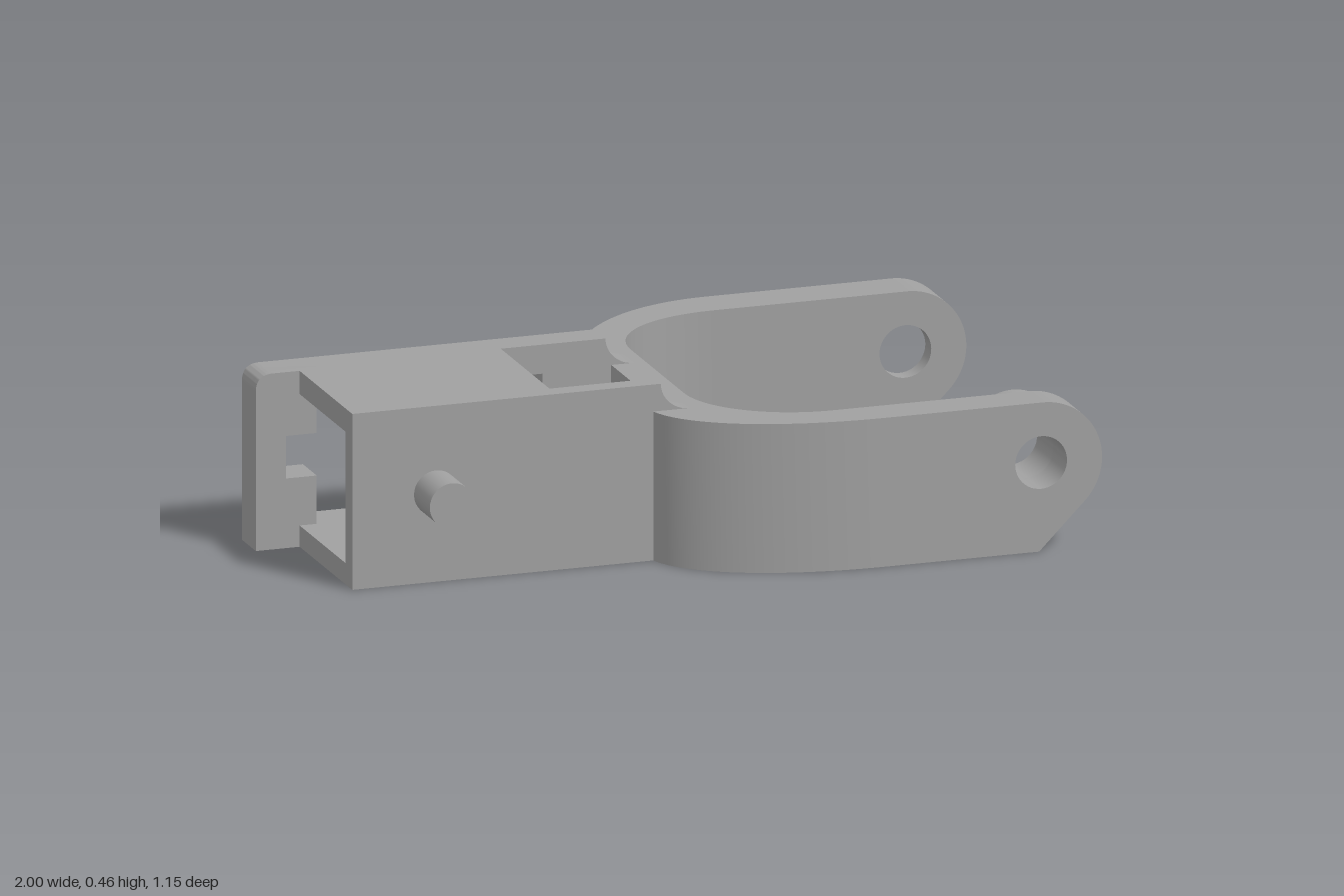
import * as THREE from 'three';
import { toCreasedNormals } from 'three/addons/utils/BufferGeometryUtils.js';

const PIVOT = [0.845, 0.23];
const TOP = 0.455;      // height of the housing
const FORK = 0.385;     // height of the fork

export function createModel() {
  const model = new THREE.Group();
  const grey = new THREE.MeshStandardMaterial({ color: 0xa0a0a0 });
  grey.name = 'bracket grey';

  const add = (name, geometry) => {
    const mesh = new THREE.Mesh(toCreasedNormals(geometry, 0.5), grey);
    mesh.name = name;
    model.add(mesh);
  };
  const extrude = (shape, depth) =>
    new THREE.ExtrudeGeometry(shape, { depth, bevelEnabled: false, curveSegments: 24 });
  // Side profile (x, y) extruded between two z positions
  const slab = (name, shape, z0, z1) => add(name, extrude(shape, z1 - z0).translate(0, 0, z0));
  const box = (name, x0, x1, y0, y1, z0, z1) =>
    add(name, new THREE.BoxGeometry(x1 - x0, y1 - y0, z1 - z0)
      .translate((x0 + x1) / 2, (y0 + y1) / 2, (z0 + z1) / 2));
  const polygon = (points, Type = THREE.Shape) =>
    new Type(points.map(([x, y]) => new THREE.Vector2(x, y)));
  const circle = (x, y, r, Type = THREE.Path) => {
    const c = new Type();
    c.absarc(x, y, r, 0, Math.PI * 2, false);
    return c;
  };

  // Housing side wall with a concave fillet running down to the fork
  const wallShape = (x0, corner) => {
    const s = new THREE.Shape();
    s.moveTo(x0, 0);
    s.lineTo(-0.06, 0);
    s.lineTo(-0.06, FORK);
    s.lineTo(0, FORK);
    s.absellipse(0, TOP, 0.075, TOP - FORK, -Math.PI / 2, -Math.PI, true);
    s.lineTo(x0 + corner, TOP);
    if (corner) s.quadraticCurveTo(x0, TOP, x0, TOP - corner);
    s.closePath();
    return s;
  };

  // Back plate with window, cable notch and screw holes
  const back = wallShape(-1, 0.045);
  back.holes.push(
    polygon([[-0.24, 0.055], [-0.24, 0.38], [-0.84, 0.38], [-0.84, 0.29], [-0.92, 0.29],
      [-0.92, 0.18], [-0.84, 0.18], [-0.84, 0.055]], THREE.Path),
    circle(-0.18, 0.31, 0.028), circle(-0.18, 0.155, 0.028));
  slab('backPlate', back, -0.175, -0.09);

  // Thicker flange at the free end of the back plate
  const flange = new THREE.Shape();
  flange.moveTo(-1, 0);
  for (const [x, y] of [[-0.84, 0], [-0.84, 0.18], [-0.92, 0.18], [-0.92, 0.29],
    [-0.84, 0.29], [-0.84, TOP], [-0.955, TOP]]) flange.lineTo(x, y);
  flange.quadraticCurveTo(-1, TOP, -1, TOP - 0.045);
  flange.closePath();
  slab('endFlange', flange, -0.09, -0.07);

  // Remaining housing walls; the end and part of the top stay open
  slab('frontWall', wallShape(-0.885, 0), 0.28, 0.33);
  box('housingFloor', -0.885, -0.06, 0, 0.055, -0.09, 0.28);
  box('housingTop', -0.885, -0.35, 0.395, TOP, -0.09, 0.28);

  // Peg on the front wall
  add('peg', new THREE.CylinderGeometry(0.058, 0.058, 0.13, 32)
    .rotateX(Math.PI / 2).translate(-0.665, 0.23, 0.385));

  // Curved yoke, drawn in plan as (x, z)
  const yoke = new THREE.Shape();
  yoke.moveTo(0.03, -0.2);
  yoke.lineTo(0.03, 0.2);
  yoke.bezierCurveTo(0.03, 0.35, 0.17, 0.465, 0.33, 0.465);
  yoke.lineTo(0.43, 0.465);
  yoke.lineTo(0.43, 0.57);
  yoke.bezierCurveTo(0.15, 0.57, -0.06, 0.47, -0.095, 0.33);
  yoke.lineTo(-0.06, 0.33);
  yoke.lineTo(-0.06, -0.175);
  yoke.lineTo(-0.085, -0.175);
  yoke.lineTo(-0.085, -0.25);
  yoke.bezierCurveTo(-0.03, -0.42, 0.14, -0.58, 0.36, -0.58);
  yoke.lineTo(0.36, -0.46);
  yoke.lineTo(0.34, -0.46);
  yoke.bezierCurveTo(0.16, -0.46, 0.03, -0.35, 0.03, -0.2);
  add('yoke', extrude(yoke, FORK).rotateX(Math.PI / 2).translate(0, FORK, 0));

  // Straight arms with rounded, chamfered tips
  const armShape = (x0, hole) => {
    const s = new THREE.Shape();
    s.moveTo(x0, 0);
    s.lineTo(0.835, 0);
    s.absarc(...PIVOT, 0.155, -Math.PI / 4, Math.PI / 2, false);
    s.lineTo(x0, FORK);
    s.closePath();
    s.holes.push(hole);
    return s;
  };
  const slot = new THREE.Path();
  slot.moveTo(0.41, 0.17);
  slot.absarc(...PIVOT, 0.105, -Math.PI * 0.56, Math.PI * 0.56, false);
  slot.lineTo(0.41, 0.24);
  slot.closePath();
  slab('frontArm', armShape(0.43, circle(0.84, 0.23, 0.068)), 0.465, 0.57);
  slab('backArmInner', armShape(0.36, circle(0.84, 0.23, 0.068)), -0.505, -0.46);
  slab('backArmSlotted', armShape(0.36, slot), -0.58, -0.505);

  // Hollow pivot boss on the inside of the front arm
  const boss = circle(0.842, 0.23, 0.125, THREE.Shape);
  boss.holes.push(circle(0.84, 0.23, 0.068));
  slab('pivotBoss', boss, 0.343, 0.465);

  return model;
}
